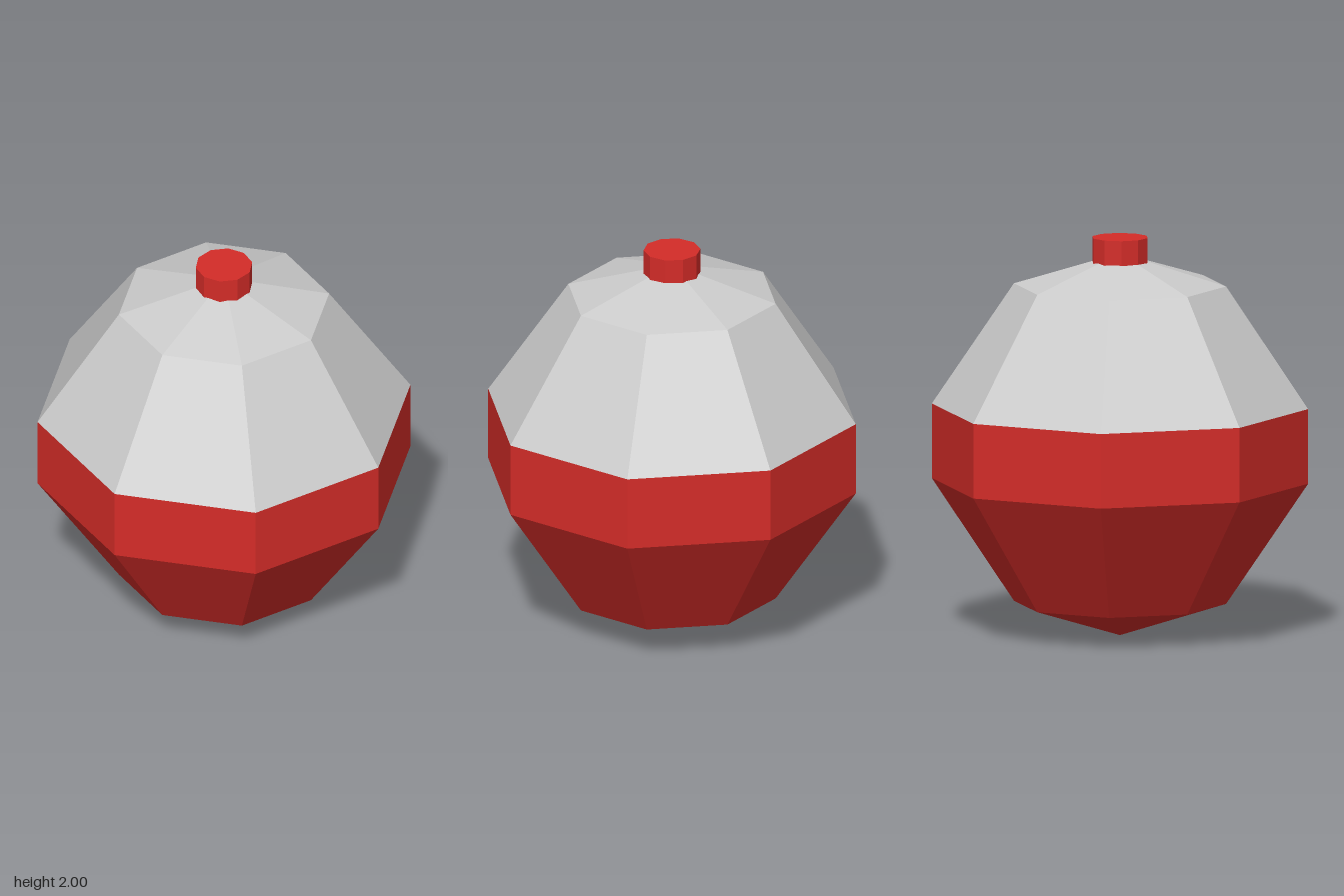
import * as THREE from 'three';

const SIDES = 8;

function material(color) {
  return new THREE.MeshStandardMaterial({ color, flatShading: true });
}

// Faceted shell turned from a bottom-to-top profile of [radius, height]
function shell(name, profile, mat) {
  const points = profile.map(([r, y]) => new THREE.Vector2(r, y));
  const mesh = new THREE.Mesh(new THREE.LatheGeometry(points, SIDES), mat);
  mesh.name = name;
  return mesh;
}

export function createModel() {
  const group = new THREE.Group();
  group.name = 'fishingFloat';
  const red = material(0xd42c28);
  const grey = material(0xcccccc);

  // Red lower half: pointed base, flared wall and straight waist band
  group.add(shell('lowerBody', [[0, 0], [0.53, 0.165], [0.94, 0.775], [0.94, 1.15]], red));

  // Pale upper half: tapering wall and shallow cap
  group.add(shell('upperBody', [[0.94, 1.15], [0.53, 1.76], [0, 1.92]], grey));

  // Push button on top, sunk slightly into the cap
  const bottom = 1.86, top = 2;
  const button = new THREE.Mesh(
    new THREE.CylinderGeometry(0.142, 0.142, top - bottom, 10, 1, false, Math.PI / 20), red);
  button.position.y = (top + bottom) / 2;
  button.name = 'topButton';
  group.add(button);

  return group;
}
